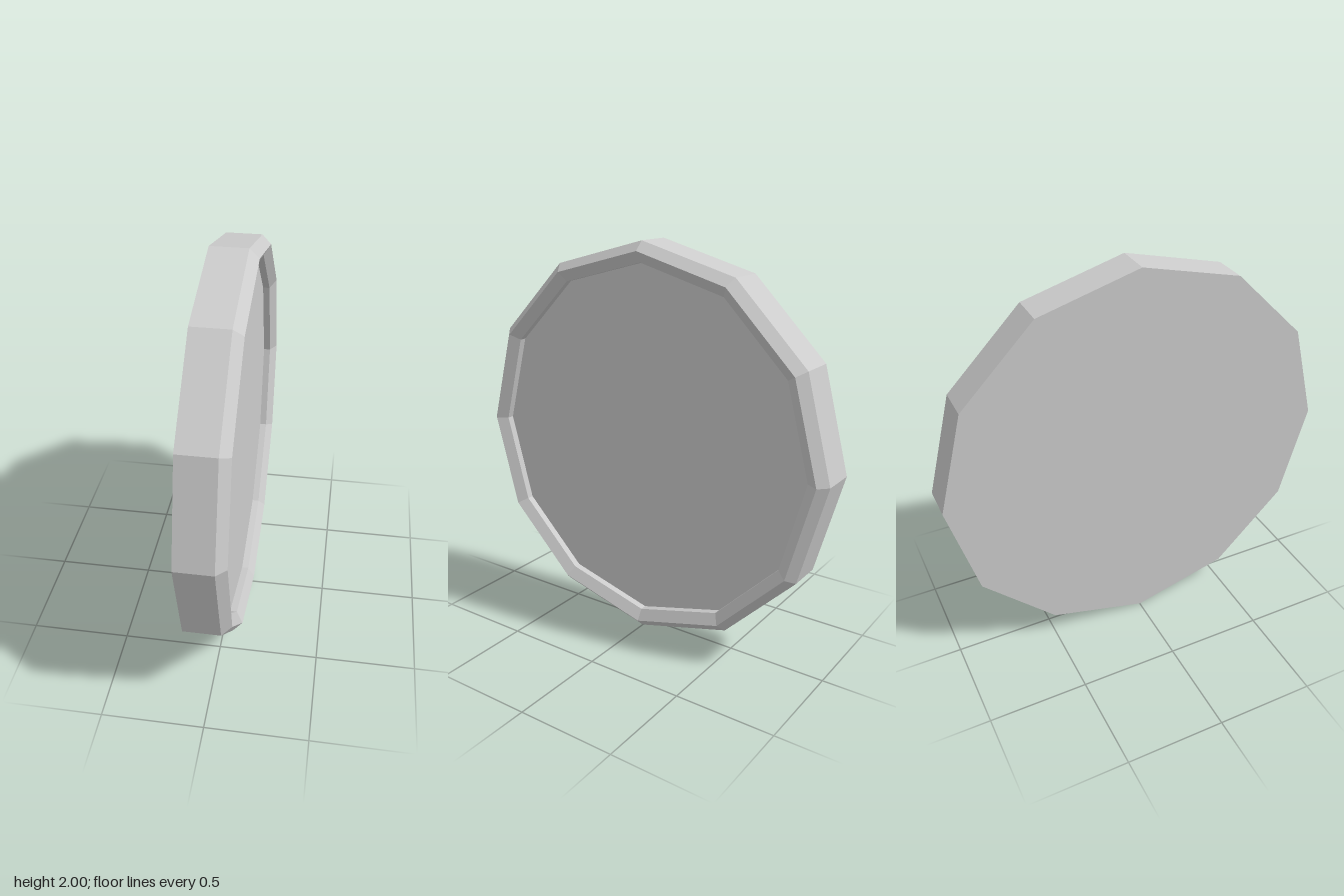
import * as THREE from 'three';

const SIDES = 12;

// Faceted solid of revolution about x, from [radius, x] profile points
function facetedRing(name, profile, material) {
  const points = profile.map(([r, x]) => new THREE.Vector2(r, x));
  const geometry = new THREE.LatheGeometry(points, SIDES).toNonIndexed();
  geometry.computeVertexNormals();
  geometry.rotateZ(-Math.PI / 2);
  const mesh = new THREE.Mesh(geometry, material);
  mesh.name = name;
  return mesh;
}

export function createModel() {
  const group = new THREE.Group();
  group.name = 'dish';
  const grey = new THREE.MeshStandardMaterial({ color: 0xcccccc });
  grey.name = 'light grey';

  const back = -0.113, front = 0.113, floor = 0.045;

  // Flat back plate
  group.add(facetedRing('backPlate', [[0, back], [1, back]], grey));

  // Outer wall, bevelled rim and inner lip
  group.add(facetedRing('rim', [
    [1, back], [1, 0.067], [0.955, front], [0.9, 0.08], [0.9, floor],
  ], grey));

  // Recessed front panel
  group.add(facetedRing('frontPanel', [[0.9, floor], [0, floor]], grey));

  group.position.y = 1;
  const model = new THREE.Group();
  model.name = 'model';
  model.add(group);
  return model;
}
